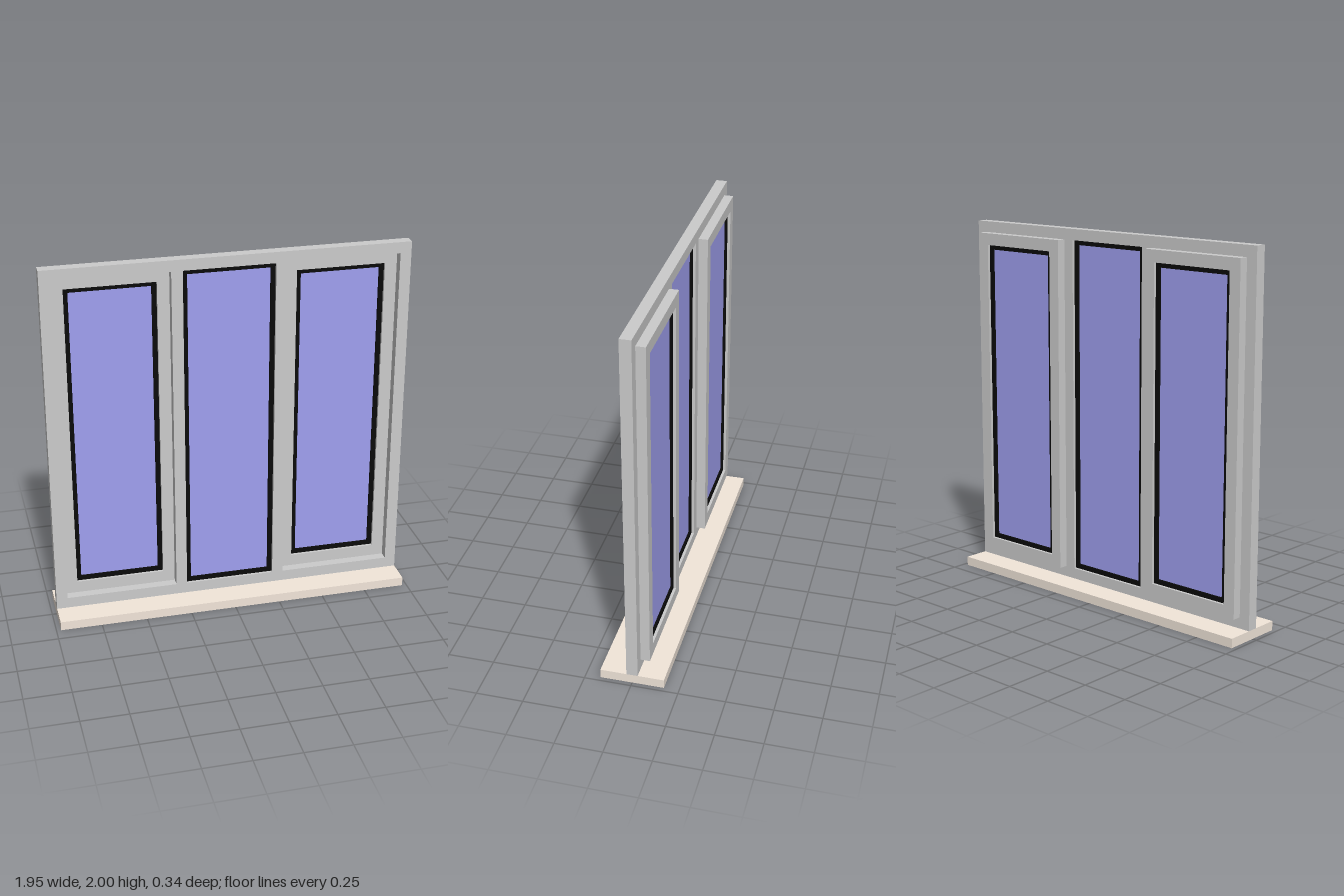
import * as THREE from 'three';

const grey = new THREE.MeshStandardMaterial({ color: 0xcccccc });
const black = new THREE.MeshStandardMaterial({ color: 0x0a0a0a });
const blue = new THREE.MeshStandardMaterial({ color: 0xa0a0f0 });
const stone = new THREE.MeshStandardMaterial({ color: 0xf2e6da });

// Rectangles are [x0, y0, x1, y1]
function outline(Type, [x0, y0, x1, y1]) {
  return new Type([[x0, y0], [x1, y0], [x1, y1], [x0, y1]].map(p => new THREE.Vector2(...p)));
}

const inset = ([x0, y0, x1, y1], d) => [x0 + d, y0 + d, x1 - d, y1 - d];

// Flat panel with rectangular holes, running from z0 to z1
function panel(name, material, rect, holes, z0, z1) {
  const shape = outline(THREE.Shape, rect);
  shape.holes = holes.map(h => outline(THREE.Path, h));
  const geometry = new THREE.ExtrudeGeometry(shape, { depth: z1 - z0, bevelEnabled: false });
  geometry.translate(0, 0, z0);
  const mesh = new THREE.Mesh(geometry, material);
  mesh.name = name;
  return mesh;
}

// Pane with its black gasket, centred on depth z
function glazing(name, rect, z) {
  const group = new THREE.Group();
  group.name = name;
  const glass = inset(rect, 0.025);
  group.add(
    panel('gasket', black, rect, [glass], z - 0.015, z + 0.015),
    panel('glass', blue, glass, [], z - 0.004, z + 0.004)
  );
  return group;
}

export function createModel() {
  const model = new THREE.Group();
  model.name = 'window';

  // Sill
  const sill = new THREE.Mesh(new THREE.BoxGeometry(1.95, 0.05, 0.34), stone);
  sill.name = 'sill';
  sill.position.y = 0.025;
  model.add(sill);

  // Outer frame with a fixed centre light and two sash openings
  const centre = [-0.245, 0.11, 0.245, 1.94];
  const sashes = { right: [-0.915, 0.11, -0.305, 1.94], left: [0.305, 0.11, 0.915, 1.94] };
  model.add(panel('outerFrame', grey, [-0.975, 0.05, 0.975, 2],
    [centre, ...Object.values(sashes)], -0.03, 0.03));
  model.add(glazing('centreGlazing', centre, 0));

  // Sashes sit towards the back of the frame
  for (const [side, rect] of Object.entries(sashes)) {
    const group = new THREE.Group();
    group.name = side + 'Sash';
    const opening = inset(rect, 0.065);
    group.add(
      panel('sashFrame', grey, rect, [opening], -0.08, -0.02),
      glazing('sashGlazing', opening, -0.05)
    );
    model.add(group);
  }
  return model;
}
